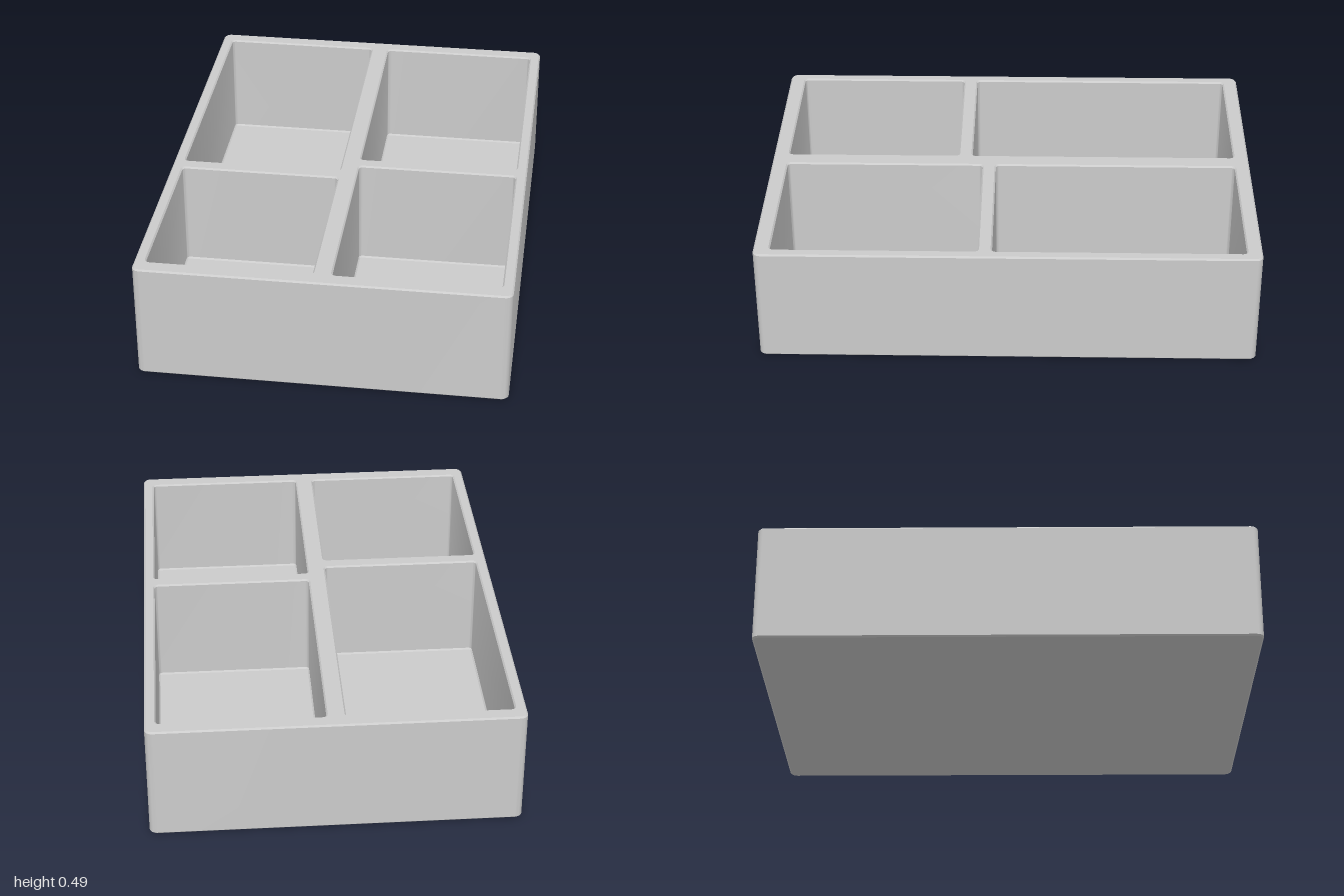
import * as THREE from 'three';
import { toCreasedNormals } from 'three/addons/utils/BufferGeometryUtils.js';

const HEIGHT = 0.485, FLOOR = 0.035, EDGE = 0.006;
const OUTER = { x0: -0.733, x1: 0.733, z0: -1, z1: 1, r: 0.03 };
const POCKETS = {
  backRight: { x0: -0.688, x1: -0.038, z0: -0.938, z1: 0.161, r: 0.015 },
  frontRight: { x0: -0.688, x1: -0.038, z0: 0.22, z1: 0.935, r: 0.015 },
  backLeft: { x0: 0.038, x1: 0.688, z0: -0.938, z1: 0.061, r: 0.015 },
  frontLeft: { x0: 0.038, x1: 0.688, z0: 0.118, z1: 0.935, r: 0.015 },
};

// Rounded rectangle, anticlockwise seen from above, in (x, -z)
function outline({ x0, x1, z0, z1, r }, inset = 0, steps = 6) {
  const radius = r - inset, points = [];
  const centres = [[x1 - r, -z0 - r], [x0 + r, -z0 - r], [x0 + r, -z1 + r], [x1 - r, -z1 + r]];
  centres.forEach(([cx, cy], q) => {
    for (let i = 0; i <= steps; i++) {
      const a = (q + i / steps) * Math.PI / 2;
      points.push(new THREE.Vector2(cx + radius * Math.cos(a), cy + radius * Math.sin(a)));
    }
  });
  return points;
}

// Wall band through levels of [inset, y]; rising faces out, falling faces in
function band(rect, levels) {
  const positions = [], index = [];
  const n = outline(rect).length;
  levels.forEach(([inset, y], k) => {
    outline(rect, inset).forEach((p, j) => {
      positions.push(p.x, y, -p.y);
      if (k === 0) return;
      const a = (k - 1) * n + j, b = (k - 1) * n + (j + 1) % n;
      index.push(a, b, b + n, a, b + n, a + n);
    });
  });
  const geometry = new THREE.BufferGeometry();
  geometry.setAttribute('position', new THREE.Float32BufferAttribute(positions, 3));
  geometry.setIndex(index);
  return toCreasedNormals(geometry, Math.PI / 5);
}

// Flat horizontal face, optionally with holes
function face(points, y, holes = [], down = false) {
  const shape = new THREE.Shape(points);
  shape.holes = holes.map((h) => new THREE.Path(h));
  return new THREE.ShapeGeometry(shape).rotateX(down ? Math.PI / 2 : -Math.PI / 2).translate(0, y, 0);
}

export function createModel() {
  const tray = new THREE.Group();
  tray.name = 'tray';
  const material = new THREE.MeshStandardMaterial({ color: 0xcccccc });
  const add = (name, geometry, parent = tray) => {
    const mesh = new THREE.Mesh(geometry, material);
    mesh.name = name;
    parent.add(mesh);
  };

  // Outer shell with softened top and bottom edges
  add('outerWalls', band(OUTER, [[EDGE, 0], [0, EDGE], [0, HEIGHT - EDGE], [EDGE, HEIGHT]]));
  add('base', face(outline(OUTER, EDGE), 0, [], true));
  add('rim', face(outline(OUTER, EDGE), HEIGHT, Object.values(POCKETS).map((p) => outline(p, -EDGE))));

  // Four compartments
  for (const [name, rect] of Object.entries(POCKETS)) {
    const pocket = new THREE.Group();
    pocket.name = name + 'Compartment';
    add('compartmentWalls', band(rect, [
      [-EDGE, HEIGHT], [0, HEIGHT - EDGE], [0, FLOOR + EDGE], [EDGE, FLOOR],
    ]), pocket);
    add('compartmentFloor', face(outline(rect, EDGE), FLOOR), pocket);
    tray.add(pocket);
  }
  return tray;
}
